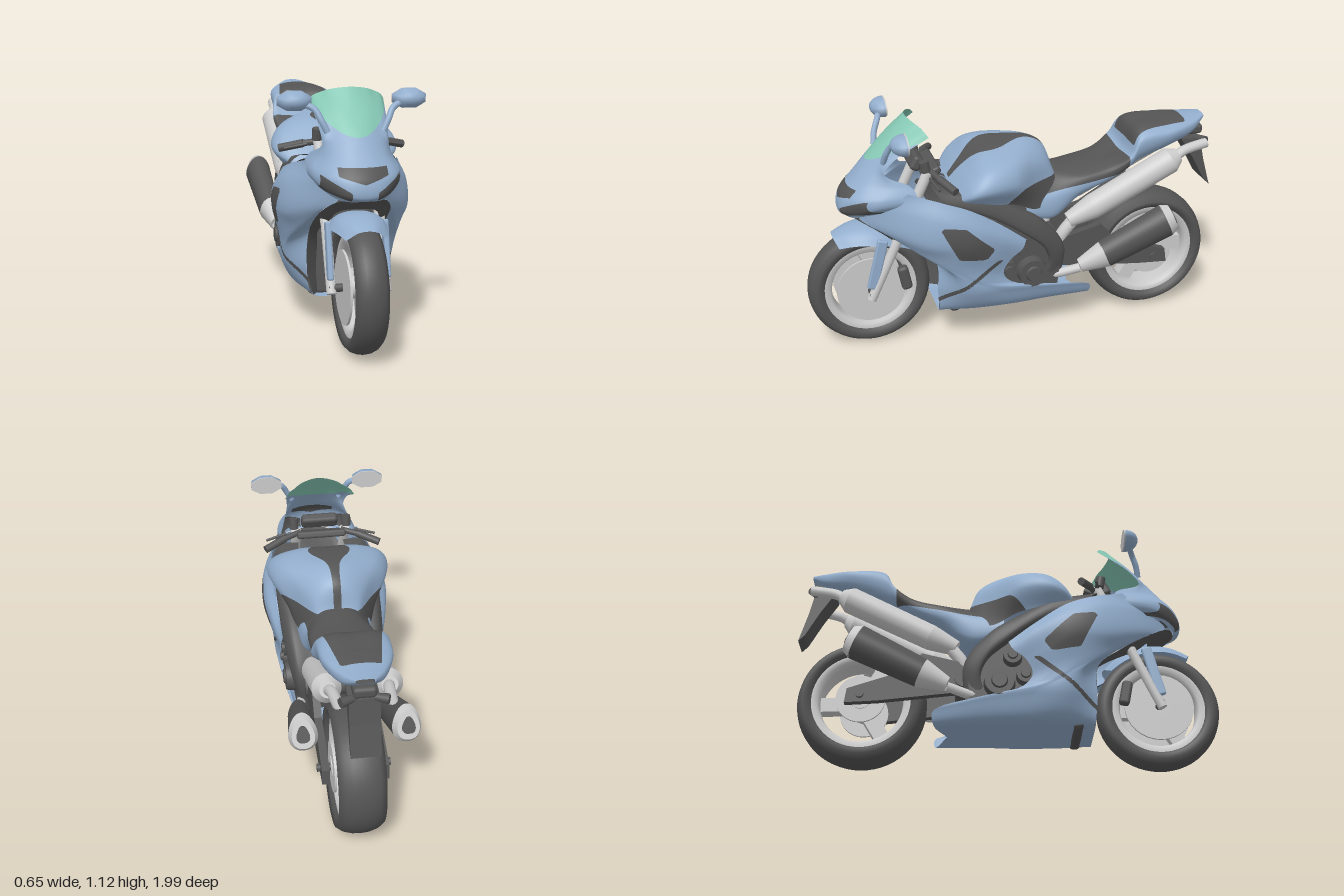
import * as THREE from 'three';
import { RoundedBoxGeometry } from 'three/addons/geometries/RoundedBoxGeometry.js';
import { ParametricGeometry } from 'three/addons/geometries/ParametricGeometry.js';

const mat = (color) => new THREE.MeshStandardMaterial({ color, side: THREE.DoubleSide });
const BLUE = mat(0x93aecd), DARK = mat(0x555555), GREY = mat(0xcccccc), GLASS = mat(0x86c8b4);
const V = (p) => new THREE.Vector3(...p);
const { min, abs, PI } = Math;

function add(g, name, geo, material, pos = [0, 0, 0], rot = [0, 0, 0]) {
  const m = new THREE.Mesh(geo, material);
  m.name = name;
  m.position.set(...pos);
  m.rotation.set(...rot);
  g.add(m);
  return m;
}
// Tapered bar from a to b; lobe makes it three-cornered, flat narrows it across
function rod(g, name, a, b, r0, r1, material, lobe = 0, flat = 1) {
  const d = V(b).sub(V(a)), geo = new THREE.CylinderGeometry(r1, r0, d.length(), 32), p = geo.attributes.position;
  for (let i = 0; i < p.count; i++) {
    const k = 1 + lobe * Math.cos(3 * Math.atan2(p.getX(i), p.getZ(i)));
    p.setXYZ(i, p.getX(i) * k * flat, p.getY(i), p.getZ(i) * k);
  }
  const m = add(g, name, geo, material, V(a).addScaledVector(d, 0.5).toArray());
  m.quaternion.setFromUnitVectors(new THREE.Vector3(0, 1, 0), d.normalize());
}
const tube = (g, name, pts, r, material) =>
  add(g, name, new THREE.TubeGeometry(new THREE.CatmullRomCurve3(pts.map(V)), 24, r, 12), material);
const box = (g, name, size, material, pos, tilt) =>
  add(g, name, new RoundedBoxGeometry(...size, 2, min(...size) * 0.35), material, pos, [tilt, 0, 0]);
// Side plate from a (z, y) outline, between x0 and x1
function plate(g, name, outline, x0, x1, material) {
  const shape = new THREE.Shape(outline.map(([z, y]) => new THREE.Vector2(-z, y)));
  const geo = new THREE.ExtrudeGeometry(shape, { depth: x1 - x0, bevelEnabled: false }).rotateY(PI / 2);
  add(g, name, geo, material, [x0, 0, 0]);
}
// Part of a polygon where sign * f is positive, cut along the zero line
function cut(poly, f, sign) {
  return poly.flatMap((a, i) => {
    const b = poly[(i + 1) % poly.length], fa = sign * f(...a), fb = sign * f(...b);
    const cross = fa * fb < 0 ? [a.map((v, k) => v + ((b[k] - v) * fa) / (fa - fb))] : [];
    return fa >= 0 ? [a, ...cross] : cross;
  });
}
// Smooth skin through rows of points; zones [name, material, f] recolour it where f(x, y, z) > 0
function skin(g, name, rows, material, zones = [], n = 40, m = 40) {
  const cross = rows.map((r) => new THREE.CatmullRomCurve3(r.map(V)));
  const geo = new ParametricGeometry((u, v, target) =>
    target.copy(new THREE.CatmullRomCurve3(cross.map((c) => c.getPoint(u))).getPoint(v)), n, m).toNonIndexed();
  const { position, normal } = geo.attributes;
  const vertex = (i) => [...position.array.slice(i * 3, i * 3 + 3), ...normal.array.slice(i * 3, i * 3 + 3)];
  let rest = Array.from({ length: position.count / 3 }, (_, i) => [0, 1, 2].map((k) => vertex(i * 3 + k)));
  const emit = (part, polys, partMaterial) => {
    const corners = polys.flatMap((p) => p.slice(2).flatMap((c, i) => [p[0], p[i + 1], c]));
    const out = new THREE.BufferGeometry();
    out.setAttribute('position', new THREE.Float32BufferAttribute(corners.flatMap((c) => c.slice(0, 3)), 3));
    out.setAttribute('normal', new THREE.Float32BufferAttribute(corners.flatMap((c) => c.slice(3)), 3));
    add(g, part, out, partMaterial);
  };
  for (const [zone, zoneMaterial, f] of zones) {
    emit(zone, rest.map((p) => cut(p, f, 1)), zoneMaterial);
    rest = rest.map((p) => cut(p, f, -1));
  }
  emit(name, rest, material);
}
const flip = (r) => r.map(([x, y, z]) => [-x, y, z]);
const whole = (rows) => rows.map((r) => [...flip(r.slice(1)).reverse(), ...r]);
const atZ = (z, prof) => prof.map(([x, y]) => [x, y, z]);
// Positive inside a convex (z, y) outline
const within = (poly, z, y) => min(...poly.map(([z1, y1], i) => {
  const [z2, y2] = poly[(i + 1) % poly.length];
  return (y2 - y1) * (z1 - z) - (z2 - z1) * (y1 - y);
}));

// Wheel turning about x: tyre, rim, spokes, hub and discs
function wheel(parent, name, y, z, R, w, discR) {
  const g = new THREE.Group();
  g.name = name;
  g.position.set(0, y, z);
  parent.add(g);
  const lathe = (part, pts, material) => add(g, part,
    new THREE.LatheGeometry(pts.map(([r, x]) => new THREE.Vector2(r, x)), 56), material, [0, 0, 0], [0, 0, PI / 2]);
  const side = [[R - 0.075, 0.72], [R - 0.06, 0.9], [R - 0.035, 1], [R - 0.014, 0.72], [R - 0.003, 0.36]];
  lathe('tyre', [...side.map(([r, k]) => [r, -k * w]), [R, 0], ...side.map(([r, k]) => [r, k * w]).reverse()], DARK);
  const q = R - 0.07, h = w * 0.75;
  lathe('rim', [[q, -h], [q - 0.03, -h], [q - 0.04, -h * 0.6], [q - 0.04, h * 0.6], [q - 0.03, h], [q, h]], GREY);
  for (const a of [0.5, 0.5 + (PI * 2) / 3, 0.5 + (PI * 4) / 3]) add(g, 'spoke',
    new THREE.BoxGeometry(w * 0.6, q - 0.03, 0.07), GREY, [0, (Math.cos(a) * q) / 2, (Math.sin(a) * q) / 2], [a, 0, 0]);
  rod(g, 'hub', [-w, 0, 0], [w, 0, 0], 0.05, 0.05, GREY);
  rod(g, 'axle', [-w - 0.06, 0, 0], [w + 0.06, 0, 0], 0.018, 0.018, DARK);
  for (const s of [1, -1]) rod(g, 'brakeDisc', [s * w * 0.86, 0, 0], [s * (w * 0.86 + 0.01), 0, 0], discR, discR, GREY);
}

export function createModel() {
  const g = new THREE.Group();
  g.name = 'sportMotorcycle';
  wheel(g, 'frontWheel', 0.294, 0.706, 0.29, 0.072, 0.162);
  wheel(g, 'rearWheel', 0.31, -0.68, 0.303, 0.105, 0.115);
  // Front fender wrapped round the tyre
  skin(g, 'frontFender', whole([0, 1, 2, 3, 4, 5, 6].map((i) => {
    const a = THREE.MathUtils.degToRad(60 + i * 13.5), t = 0.55 + 0.45 * Math.sin((PI * (i + 0.6)) / 7);
    return [[0, 0.325], [0.06, 0.317], [0.1, 0.295], [0.13, 0.325 - 0.07 * t]]
      .map(([x, r]) => [x * t, 0.294 + r * Math.sin(a), 0.706 + r * Math.cos(a)]);
  })), BLUE, [], 24, 24);
  // Nose cowl with screen, headlights and intake panel
  skin(g, 'noseCowl', whole([
    [[0, 0.685, 0.8], [0.06, 0.685, 0.795], [0.1, 0.69, 0.77], [0.14, 0.71, 0.72], [0.17, 0.73, 0.62]],
    [[0, 0.7, 0.83], [0.07, 0.71, 0.82], [0.14, 0.735, 0.76], [0.18, 0.755, 0.69], [0.2, 0.77, 0.54]],
    [[0, 0.77, 0.825], [0.075, 0.77, 0.812], [0.145, 0.78, 0.76], [0.185, 0.79, 0.67], [0.2, 0.8, 0.5]],
    [[0, 0.86, 0.755], [0.06, 0.86, 0.745], [0.12, 0.86, 0.7], [0.16, 0.85, 0.62], [0.18, 0.845, 0.52]],
    [[0, 0.94, 0.69], [0.05, 0.94, 0.68], [0.1, 0.94, 0.65], [0.135, 0.92, 0.64], [0.145, 0.9, 0.63]],
    [[0, 1.03, 0.6], [0.06, 1.03, 0.59], [0.11, 1.02, 0.57], [0.14, 0.99, 0.575], [0.15, 0.97, 0.58]],
    [[0, 1.125, 0.505], [0.08, 1.115, 0.485], [0.12, 1.1, 0.46], [0.15, 1.085, 0.445], [0.168, 1.065, 0.43]],
  ]), BLUE, [
    ['windscreen', GLASS, (x, y) => y - 0.935 - 4 * x * x],
    ['headlight', DARK, (x, y, z) => min(z - 0.6, abs(x) - 0.055, 0.17 - abs(x), 0.012 + 0.12 * abs(x) - abs(y - 0.705 - 0.45 * (abs(x) - 0.05)))],
    ['nosePanel', DARK, (x, y) => min(0.105 - abs(x), y - 0.76 - 0.3 * abs(x), 0.825 - y)],
  ], 64, 56);
  // Dark duct behind the front wheel, with the radiator inside
  skin(g, 'frontDuct', whole([
    [[0, 0.685, 0.8], [0.09, 0.685, 0.77], [0.145, 0.63, 0.67], [0.165, 0.54, 0.52], [0.165, 0.46, 0.42], [0.17, 0.3, 0.41], [0.14, 0.17, 0.4]],
    [[0, 0.625, 0.67], [0.08, 0.615, 0.66], [0.11, 0.565, 0.61], [0.125, 0.48, 0.44], [0.11, 0.4, 0.34], [0.11, 0.3, 0.33], [0.1, 0.17, 0.33]],
  ]), DARK, [], 48, 4);
  box(g, 'radiator', [0.3, 0.5, 0.05], DARK, [0, 0.405, 0.3], -0.1);
  // Side fairings down to the belly, with vent and stripe
  const vent = [[0.42, 0.675], [0.3, 0.66], [0.16, 0.53], [0.2, 0.48], [0.33, 0.5]];
  const fairing = [
    [[0.2, 0.82, 0.54], [0.245, 0.78, 0.4], [0.26, 0.73, 0.27], [0.25, 0.64, 0.13], [0.24, 0.54, 0]],
    [[0.17, 0.745, 0.64], [0.28, 0.7, 0.42], [0.3, 0.65, 0.27], [0.28, 0.58, 0.13], [0.25, 0.5, 0.02]],
    [[0.1, 0.69, 0.75], [0.275, 0.58, 0.46], [0.305, 0.56, 0.3], [0.28, 0.5, 0.18], [0.25, 0.45, 0.08]],
    [[0.15, 0.62, 0.65], [0.23, 0.52, 0.48], [0.27, 0.46, 0.34], [0.265, 0.42, 0.22], [0.24, 0.38, 0.11]],
    [[0.165, 0.46, 0.42], [0.25, 0.4, 0.34], [0.26, 0.36, 0.24], [0.25, 0.34, 0.15], [0.23, 0.32, 0.06]],
    [[0.17, 0.29, 0.41], [0.24, 0.28, 0.28], [0.24, 0.28, 0.1], [0.22, 0.26, -0.1], [0.18, 0.22, -0.34]],
    [[0.14, 0.175, 0.4], [0.17, 0.175, 0.25], [0.18, 0.175, 0.05], [0.17, 0.175, -0.12], [0.15, 0.165, -0.34]],
    [[0, 0.165, 0.4], [0, 0.165, 0.25], [0, 0.16, 0.05], [0, 0.16, -0.12], [0, 0.16, -0.28]],
  ];
  const fairingZones = [['sideVent', DARK, (x, y, z) => within(vent, z, y)],
    ['sideStripe', DARK, (x, y, z) => min(y - 0.2, 0.46 - y, 0.013 - abs(y - 0.25 - (0.4 - z) * 0.77))]];
  // Frame spars and engine block
  const upper = [[0.2, 0.82, 0.42], [0.225, 0.77, 0.22], [0.215, 0.69, 0.05], [0.205, 0.6, -0.09], [0.19, 0.45, -0.2], [0.17, 0.28, -0.19]];
  const lower = [[0.24, 0.77, 0.38], [0.24, 0.66, 0.15], [0.235, 0.56, 0], [0.22, 0.47, -0.1], [0.2, 0.38, -0.13], [0.17, 0.28, -0.08]];
  const inset = (r) => r.map(([x, y, z]) => [x - 0.09, y, z]);
  const spar = [inset(upper), upper, lower, inset(lower)];
  plate(g, 'engine', [[0.22, 0.28], [0.22, 0.6], [0.05, 0.66], [-0.12, 0.56], [-0.19, 0.42], [-0.17, 0.24], [0, 0.22]], -0.19, 0.19, DARK);
  // Fuel tank with centre stripe and knee panels
  skin(g, 'fuelTank', whole([
    atZ(0.32, [[0, 0.79], [0.1, 0.79], [0.18, 0.78], [0.21, 0.76], [0.17, 0.72]]),
    atZ(0.255, [[0, 0.865], [0.13, 0.865], [0.24, 0.845], [0.275, 0.8], [0.2, 0.72]]),
    atZ(0.18, [[0, 0.93], [0.15, 0.925], [0.255, 0.885], [0.29, 0.82], [0.23, 0.73]]),
    atZ(0.05, [[0, 0.96], [0.13, 0.945], [0.225, 0.9], [0.26, 0.82], [0.21, 0.71]]),
    atZ(-0.06, [[0, 0.963], [0.09, 0.94], [0.16, 0.88], [0.18, 0.78], [0.18, 0.66]]),
    atZ(-0.14, [[0, 0.92], [0.06, 0.9], [0.11, 0.85], [0.13, 0.78], [0.15, 0.66]]),
    atZ(-0.18, [[0, 0.81], [0.05, 0.81], [0.09, 0.79], [0.11, 0.75], [0.13, 0.66]]),
  ]), BLUE, [
    ['tankStripe', DARK, (x, y, z) => min(y - 0.8, 0.018 + 0.08 * Math.exp(-(((z - 0.12) / 0.11) ** 2)) - abs(x))],
    ['kneePanel', DARK, (x, y, z) => min(0.79 - 3 * Math.max(0, z) ** 1.5 - y, 0.13 - z)],
  ], 48, 48);
  // Tail unit with rider and passenger seats
  skin(g, 'tailUnit', whole([
    atZ(-0.02, [[0, 0.78], [0.07, 0.78], [0.13, 0.74], [0.17, 0.68], [0.17, 0.62], [0, 0.62]]),
    atZ(-0.16, [[0, 0.8], [0.07, 0.79], [0.12, 0.75], [0.16, 0.69], [0.15, 0.59], [0, 0.59]]),
    atZ(-0.3, [[0, 0.805], [0.1, 0.79], [0.145, 0.765], [0.15, 0.71], [0.11, 0.67], [0, 0.67]]),
    atZ(-0.45, [[0, 0.82], [0.09, 0.82], [0.15, 0.8], [0.15, 0.76], [0.1, 0.73], [0, 0.73]]),
    atZ(-0.54, [[0, 0.85], [0.1, 0.86], [0.165, 0.86], [0.16, 0.82], [0.1, 0.78], [0, 0.78]]),
    atZ(-0.59, [[0, 0.965], [0.1, 0.965], [0.155, 0.93], [0.15, 0.86], [0.1, 0.81], [0, 0.81]]),
    atZ(-0.75, [[0, 0.985], [0.08, 0.98], [0.145, 0.95], [0.135, 0.9], [0.08, 0.86], [0, 0.86]]),
    atZ(-0.88, [[0, 0.985], [0.05, 0.98], [0.09, 0.965], [0.09, 0.93], [0.06, 0.91], [0, 0.91]]),
    atZ(-0.95, [[0, 0.985], [0.02, 0.985], [0.04, 0.98], [0.04, 0.97], [0.02, 0.965], [0, 0.965]]),
  ]), BLUE, [['riderSeat', DARK, (x, y, z) => min(z + 0.53, y - 0.72 + 0.16 * (z + 0.16))],
    ['passengerSeat', DARK, (x, y, z) => min(-0.555 - z, z + 0.84, y - 0.9, 0.125 + 0.17 * (z + 0.6) - abs(x))]], 48, 56);
  box(g, 'tailLight', [0.1, 0.05, 0.12], DARK, [0, 0.91, -0.89], 0);
  plate(g, 'plateHolder', [[-0.83, 0.88], [-0.93, 0.87], [-0.955, 0.76], [-0.995, 0.62], [-0.965, 0.65], [-0.9, 0.77]], -0.065, 0.065, DARK);
  rod(g, 'swingarmPivot', [-0.16, 0.4, -0.2], [0.16, 0.4, -0.2], 0.05, 0.05, DARK);
  // Cockpit
  box(g, 'topClamp', [0.24, 0.035, 0.09], DARK, [0, 0.87, 0.41], 0.4);
  box(g, 'instruments', [0.18, 0.07, 0.05], DARK, [0, 0.91, 0.47], -0.5);
  for (const s of [1, -1]) {
    const X = (x, y, z) => [s * x, y, z], put = (rows) => (s > 0 ? rows : rows.map(flip));
    skin(g, 'sideFairing', put(fairing), BLUE, fairingZones, 48, 48);
    skin(g, 'frameSpar', put(spar), DARK, [], 30, 18);
    for (const [z, y, r] of [[0.02, 0.48, 0.046], [0.08, 0.385, 0.046], [-0.04, 0.35, 0.075]]) {
      rod(g, 'engineCover', X(0.18, y, z), X(0.235, y, z), r, r * 0.9, DARK);
      rod(g, 'coverCap', X(0.23, y, z), X(0.245, y, z), r * 0.55, r * 0.45, DARK);
    }
    // Forks, guards and calipers
    rod(g, 'forkLeg', X(0.12, 0.27, 0.715), X(0.12, 0.56, 0.58), 0.022, 0.022, GREY);
    rod(g, 'forkTube', X(0.12, 0.55, 0.585), X(0.12, 0.88, 0.43), 0.024, 0.024, GREY);
    box(g, 'forkGuard', [0.025, 0.25, 0.05], BLUE, X(0.125, 0.45, 0.68), -0.25);
    box(g, 'brakeCaliper', [0.045, 0.12, 0.05], DARK, X(0.095, 0.35, 0.55), 0.2);
    // Handlebars and mirrors
    rod(g, 'handlebar', X(0.1, 0.88, 0.42), X(0.19, 0.865, 0.385), 0.014, 0.014, DARK);
    rod(g, 'grip', X(0.18, 0.867, 0.39), X(0.28, 0.84, 0.34), 0.018, 0.018, DARK);
    rod(g, 'lever', X(0.17, 0.87, 0.43), X(0.27, 0.85, 0.41), 0.007, 0.006, DARK);
    rod(g, 'fluidReservoir', X(0.13, 0.89, 0.44), X(0.13, 0.94, 0.45), 0.022, 0.022, DARK);
    tube(g, 'mirrorStalk', [X(0.12, 0.95, 0.63), X(0.145, 1.0, 0.62), X(0.17, 1.045, 0.6), X(0.22, 1.07, 0.58)], 0.014, BLUE);
    const pod = new THREE.SphereGeometry(1, 8, 8, PI / 8, PI * 2, 0, PI / 2).rotateX(PI / 2).scale(0.08, 0.046, 0.066);
    add(g, 'mirrorPod', pod, BLUE, X(0.25, 1.078, 0.553));
    const face = new THREE.CylinderGeometry(1, 1, 0.006, 8, 1, false, PI / 8).rotateX(PI / 2).scale(0.08, 0.046, 1);
    add(g, 'mirrorGlass', face, GREY, X(0.25, 1.078, 0.55));
    // Swingarm
    const arm = [[-0.15, 0.46], [-0.4, 0.52], [-0.48, 0.43], [-0.74, 0.34], [-0.75, 0.27], [-0.6, 0.28], [-0.18, 0.33]];
    plate(g, 'swingarm', arm, s * 0.1325 - 0.0175, s * 0.1325 + 0.0175, DARK);
    // Upper and lower exhausts
    tube(g, 'upperPipe', [X(0.11, 0.4, -0.19), X(0.125, 0.48, -0.21), X(0.13, 0.57, -0.28)], 0.03, GREY);
    rod(g, 'upperMufflerCone', X(0.13, 0.555, -0.24), X(0.13, 0.61, -0.36), 0.036, 0.06, GREY);
    rod(g, 'upperMuffler', X(0.13, 0.61, -0.36), X(0.13, 0.805, -0.75), 0.06, 0.063, GREY);
    rod(g, 'upperMufflerEnd', X(0.13, 0.805, -0.75), X(0.13, 0.825, -0.79), 0.063, 0.035, GREY);
    tube(g, 'upperTailpipe', [X(0.13, 0.81, -0.77), X(0.12, 0.84, -0.82), X(0.11, 0.865, -0.94)], 0.024, GREY);
    tube(g, 'lowerPipe', [X(0.14, 0.3, -0.02), X(0.17, 0.3, -0.16), X(0.2, 0.33, -0.28)], 0.022, GREY);
    rod(g, 'lowerMufflerCone', X(0.2, 0.34, -0.28), X(0.21, 0.39, -0.4), 0.035, 0.07, GREY, 0.06, 0.75);
    rod(g, 'lowerMuffler', X(0.21, 0.39, -0.4), X(0.227, 0.535, -0.7), 0.07, 0.084, DARK, 0.06, 0.75);
    rod(g, 'lowerMufflerCap', X(0.227, 0.535, -0.7), X(0.229, 0.55, -0.735), 0.085, 0.066, GREY, 0.06, 0.75);
    rod(g, 'lowerOutlet', X(0.229, 0.547, -0.728), X(0.23, 0.553, -0.742), 0.038, 0.038, DARK, 0.1, 0.75);
    rod(g, 'turnSignal', X(0.03, 0.87, -0.91), X(0.1, 0.87, -0.94), 0.014, 0.022, DARK);
  }
  return g;
}
